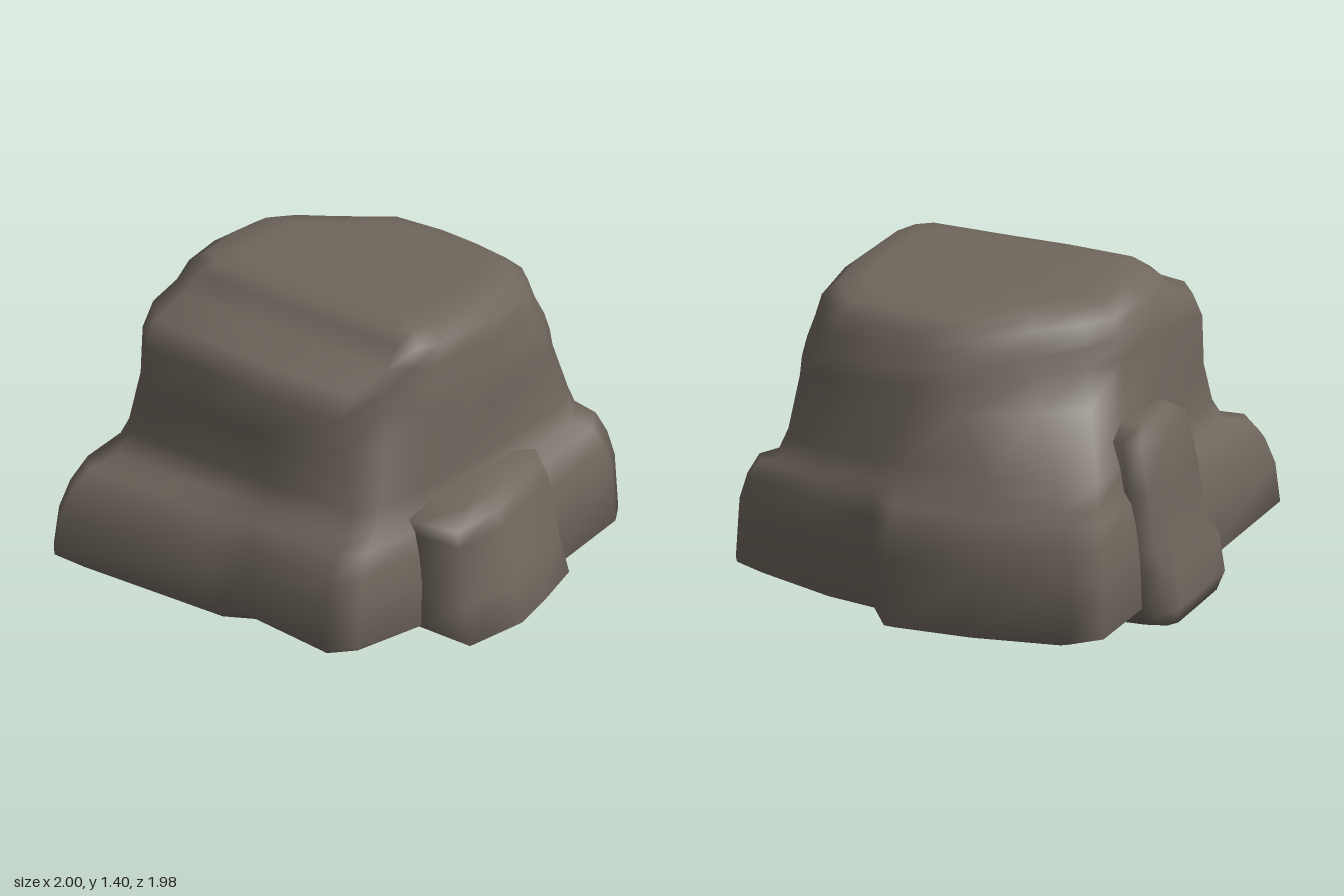
import * as THREE from 'three';

const stone = new THREE.MeshStandardMaterial({ color: 0x70675d });
stone.name = 'brown grey stone';

// Lofts one boulder through outlines seen from above ([x, z, optional lift] corners, same count in each).
// rings = [y, position between the outlines, scale, slope in x, slope in z] from bottom to top.
function boulder(name, outlines, rings) {
  const n = outlines[0].length, m = rings.length, pos = [], index = [];
  const middle = o => [0, 1].map(k => o.reduce((sum, p) => sum + p[k], 0) / n);
  const ends = [];
  for (const [y, t, scale = 1, slopeX = 0, slopeZ = 0] of rings) {
    const k = Math.min(Math.floor(t), outlines.length - 1);
    const next = outlines[Math.min(k + 1, outlines.length - 1)];
    const ring = outlines[k].map((p, i) =>
      [0, 1, 2].map(c => THREE.MathUtils.lerp(p[c] || 0, next[i][c] || 0, t - k)));
    const [cx, cz] = middle(ring);
    for (const [px, pz, lift] of ring) {
      const x = cx + (px - cx) * scale, z = cz + (pz - cz) * scale;
      pos.push(x, y + slopeX * x + slopeZ * z + lift * scale * scale, z);
    }
    ends.push([cx, y + slopeX * cx + slopeZ * cz, cz]);
  }
  pos.push(...ends[0], ...ends[m - 1]);
  for (let i = 0; i < n; i++) {
    const j = (i + 1) % n;
    for (let r = 0; r < m - 1; r++) {
      const a = r * n + i, b = r * n + j;
      index.push(a, a + n, b, b, a + n, b + n);
    }
    index.push(m * n, i, j, m * n + 1, (m - 1) * n + j, (m - 1) * n + i);
  }
  const geo = new THREE.BufferGeometry();
  geo.setAttribute('position', new THREE.Float32BufferAttribute(pos, 3));
  geo.setIndex(index);
  geo.computeVertexNormals();
  const mesh = new THREE.Mesh(geo, stone);
  mesh.name = name;
  return mesh;
}

export function createModel() {
  const rock = new THREE.Group();
  rock.name = 'rock';

  // Outlines of the main body, from the back corner at -x towards +x and round the front
  const foot = [[-0.92, -0.75], [-0.82, -0.87], [-0.4, -0.96], [-0.02, -0.99], [0.1, -0.87, 0.03], [0.4, -0.86, 0.05],
    [0.78, -0.8, 0.09], [0.83, -0.72, 0.08], [0.81, -0.3], [0.72, 0.3], [0.63, 0.72], [0.54, 0.83], [0.1, 0.8],
    [-0.03, 0.88], [-0.75, 0.99, 0.04], [-0.81, 0.92, 0.04], [-0.85, 0.2], [-0.88, -0.35]];
  const waist = [[-0.84, -0.66], [-0.72, -0.76], [-0.4, -0.8], [0, -0.8], [0.12, -0.79], [0.38, -0.78],
    [0.58, -0.72], [0.65, -0.6], [0.64, -0.2], [0.62, 0.28], [0.57, 0.5], [0.5, 0.6], [0.1, 0.64],
    [-0.2, 0.66], [-0.6, 0.67], [-0.67, 0.6], [-0.73, 0.1], [-0.8, -0.35]];
  const shoulder = [[-0.62, -0.34], [-0.45, -0.5], [-0.2, -0.71], [0, -0.74], [0.2, -0.74], [0.4, -0.72],
    [0.54, -0.65], [0.62, -0.54], [0.65, -0.2], [0.62, 0.27], [0.49, 0.36], [0.42, 0.57], [0.05, 0.64],
    [-0.25, 0.66], [-0.57, 0.63, -0.05], [-0.68, 0.5, -0.05], [-0.72, 0.1], [-0.71, -0.22]];
  const crown = [[-0.59, -0.32], [-0.44, -0.45], [-0.24, -0.64], [0, -0.68], [0.2, -0.68], [0.4, -0.66],
    [0.49, -0.59], [0.57, -0.49], [0.62, -0.2], [0.61, 0.15], [0.57, 0.25], [0.5, 0.3], [0.1, 0.32],
    [-0.2, 0.34], [-0.54, 0.34], [-0.64, 0.27], [-0.68, 0.05], [-0.67, -0.2]];
  rock.add(boulder('mainRock', [foot, waist, shoulder, crown], [
    [0.005, 0, 0.35], [0.03, 0, 0.64], [0.075, 0, 0.9, 0, 0.03], [0.13, 0, 1, 0, 0.05],
    [0.35, 0.07], [0.47, 0.22], [0.57, 0.45], [0.62, 0.82], [0.72, 1], [0.94, 1.85],
    [1.09, 2, 1, -0.05, 0.07], [1.18, 2.2, 0.99, -0.05, 0.09], [1.24, 2.8, 1, 0, 0.1],
    [1.32, 3, 0.98, 0.02, 0.11], [1.37, 3, 0.88, 0.02, 0.11], [1.385, 3, 0.7, 0.02, 0.11]]));

  // Slab leaning on the -x side
  rock.add(boulder('sideSlab', [
    [[-0.98, -0.32], [-0.88, -0.36], [-0.5, -0.4], [-0.45, 0.34], [-0.83, 0.37], [-0.9, 0.3], [-0.95, 0.03], [-1, -0.25]],
    [[-0.88, -0.37], [-0.82, -0.42], [-0.5, -0.42], [-0.5, 0.12], [-0.74, 0.17], [-0.82, 0.12], [-0.88, 0], [-0.91, -0.2]],
  ], [[0.03, 0, 0.86], [0.1, 0], [0.27, 0.15], [0.36, 0.5], [0.6, 0.7], [0.83, 1], [0.88, 1, 0.6]]));

  // Broad block on the +x side
  rock.add(boulder('sideBlock', [
    [[0.4, -0.45], [0.8, -0.42], [0.9, -0.33], [0.96, -0.1], [1, 0.1], [0.95, 0.38], [0.7, 0.39], [0.4, 0.4]],
    [[0.4, -0.42], [0.66, -0.4], [0.76, -0.32], [0.82, -0.1], [0.86, 0.1], [0.84, 0.33], [0.66, 0.37], [0.4, 0.37]],
  ], [[0.09, 0, 0.72], [0.14, 0], [0.3, 0.35], [0.56, 0.75], [0.62, 1], [0.66, 1, 0.65]]));

  return rock;
}
